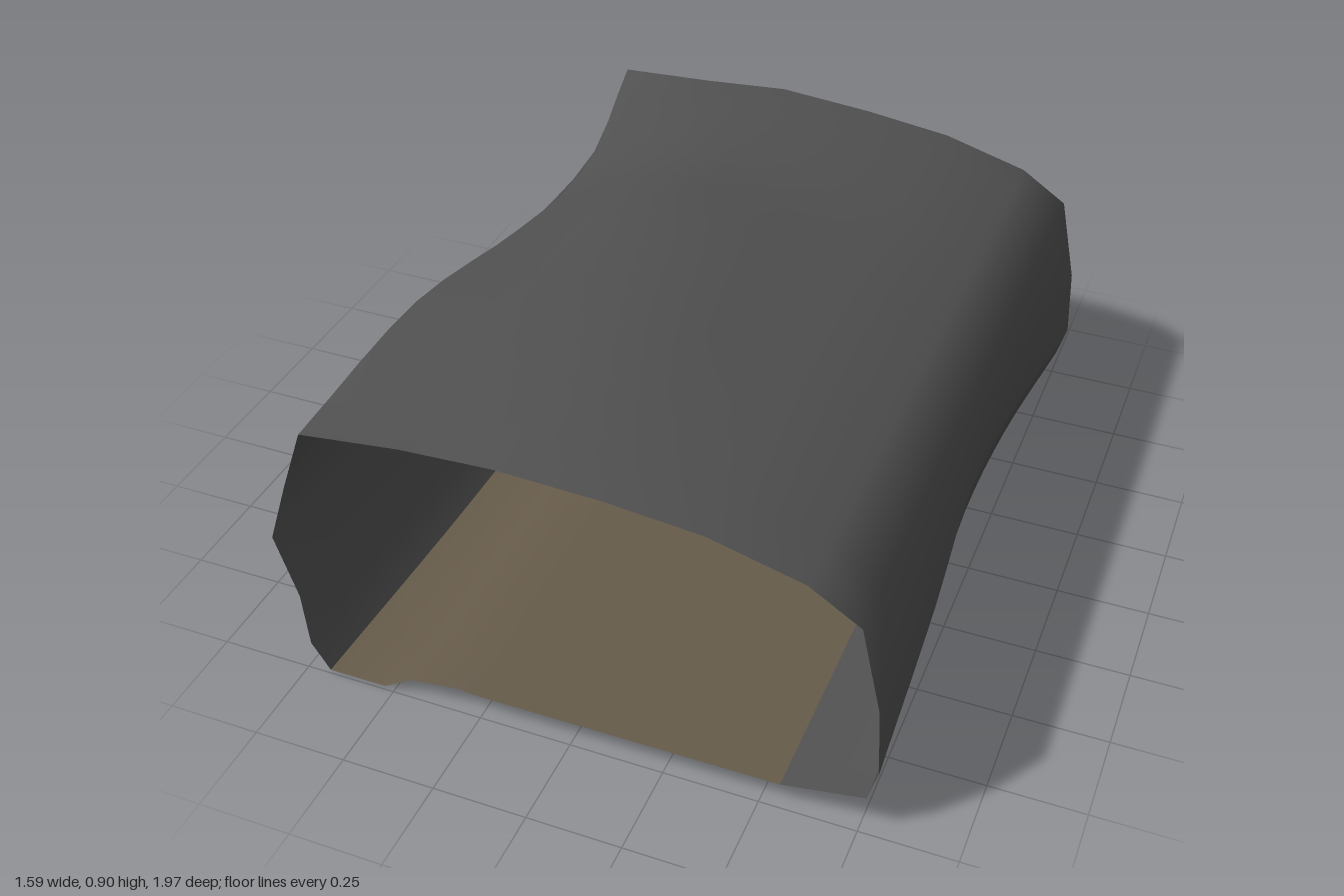
import * as THREE from 'three';

// Average tunnel section, from the left floor edge over the roof to the right floor edge.
const arch = [[-0.66, 0], [-0.72, 0.08], [-0.73, 0.24], [-0.76, 0.42], [-0.72, 0.6], [-0.64, 0.74], [-0.4, 0.815],
  [-0.16, 0.84], [0.11, 0.82], [0.36, 0.79], [0.6, 0.725], [0.73, 0.64], [0.77, 0.4], [0.76, 0.2], [0.74, 0.11], [0.55, 0.07]];

// Flat floor with a shallow channel near the left wall.
const ground = [[0.55, 0.07], [-0.25, 0.065], [-0.32, 0.07], [-0.45, 0.05], [-0.53, 0], [-0.66, 0]];

// How far the rock swells or sinks at each station along the tunnel.
const stations = [
  { z: 0.99, corner: 0.04, crown: -0.015, left: 0.04, right: 0.03, foot: -0.03 },
  { z: 0.4, corner: 0.05, crown: 0.055, left: 0.01, right: -0.005, foot: -0.01 },
  { z: -0.1, corner: -0.01, crown: 0.055, left: 0.025, right: -0.045, foot: 0 },
  { z: -0.5, corner: -0.03, crown: 0, left: -0.015, right: -0.03, foot: 0.02 },
  { z: -0.965, corner: 0.065, crown: 0, left: -0.02, right: 0.03, foot: 0.06 },
];

const bump = (t, centre, width) => Math.exp(-(((t - centre) / width) ** 2));

// Shift one section point by the swelling of its station.
function shape([x, y], s) {
  const p = new THREE.Vector3(x, y, s.z);
  if (y > 0.65) {
    const corner = s.corner * bump(x, -0.64, 0.15);
    p.y += corner + s.crown * bump(x, -0.15, 0.25);
    p.x -= corner * 0.7;
  }
  if (x < -0.6) p.x += s.foot * bump(y, 0, 0.1) - s.left * bump(y, 0.42, 0.2);
  if (x > 0.7) p.x += s.right * bump(y, 0.2, 0.2);
  // The back mouth is cut slightly askew and its floor sticks out.
  if (s.z < -0.9) p.z += 0.02 * x - 0.02 * Math.max(0, 0.3 - y);
  return p;
}

// Join matching section points with smooth lengthwise curves, then skin them.
function loft(profile, steps) {
  const rails = profile.map((pt) => new THREE.CatmullRomCurve3(stations.map((s) => shape(pt, s)), false, 'centripetal'));
  const n = rails.length, pos = [], idx = [];
  for (let j = 0; j <= steps; j++) {
    for (const rail of rails) pos.push(...rail.getPoint(j / steps).toArray());
  }
  for (let j = 0; j < steps; j++) {
    for (let i = 0; i < n - 1; i++) {
      const a = j * n + i, b = a + n;
      idx.push(a, a + 1, b, a + 1, b + 1, b);
    }
  }
  const g = new THREE.BufferGeometry();
  g.setAttribute('position', new THREE.Float32BufferAttribute(pos, 3));
  g.setIndex(idx);
  g.computeVertexNormals();
  return g;
}

export function createModel() {
  const group = new THREE.Group();
  const add = (name, profile, materialName, color) => {
    const material = new THREE.MeshStandardMaterial({ color, side: THREE.DoubleSide });
    material.name = materialName;
    const mesh = new THREE.Mesh(loft(profile, 16), material);
    mesh.name = name;
    group.add(mesh);
  };

  // Rock walls and roof in one continuous skin, open at both ends.
  add('rockShell', arch, 'rock grey', 0x505050);
  add('floor', ground, 'earth brown', 0x665b4a);
  return group;
}
